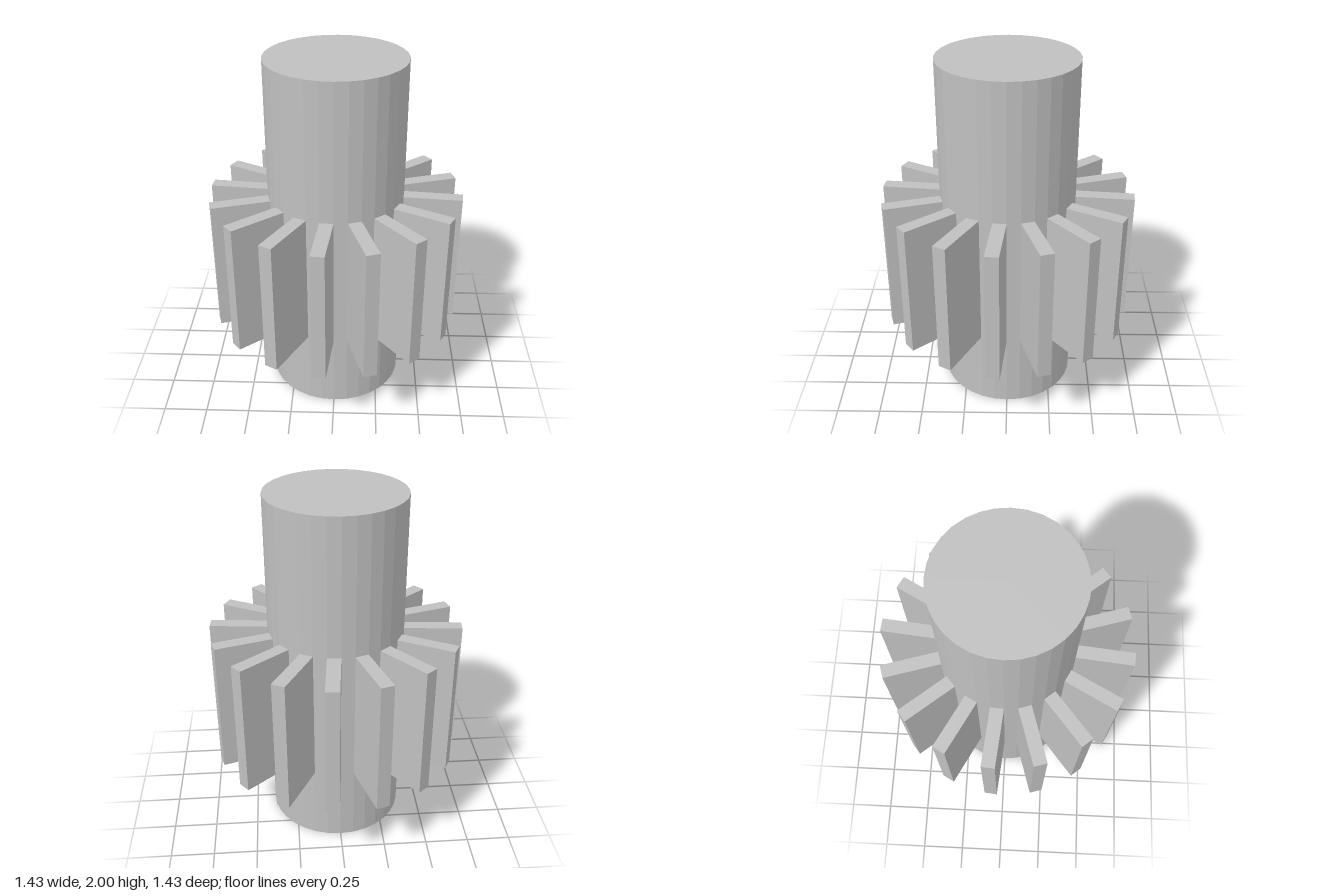
import * as THREE from 'three';

const SIDES = 32; // facets of the shaft; every second one carries a tooth
const RADIUS = 0.387;
const TOOTH_LENGTH = 0.328;
const TOOTH_BOTTOM = 0.447;
const TOOTH_TOP = 1.222;

export function createModel() {
  const model = new THREE.Group();
  model.name = 'pinionGear';
  const steel = new THREE.MeshStandardMaterial({ color: 0xc0c0c0, flatShading: true });
  steel.name = 'grey steel';

  // Faceted shaft
  const shaft = new THREE.Mesh(new THREE.CylinderGeometry(RADIUS, RADIUS, 2, SIDES), steel);
  shaft.name = 'shaft';
  shaft.position.y = 1;
  model.add(shaft);

  // Straight teeth, each as wide as one shaft facet
  const half = Math.PI / SIDES;
  const width = 2 * RADIUS * Math.sin(half);
  const inner = RADIUS * Math.cos(half);
  const toothGeometry = new THREE.BoxGeometry(TOOTH_LENGTH, TOOTH_TOP - TOOTH_BOTTOM, width);
  toothGeometry.translate(inner + TOOTH_LENGTH / 2, (TOOTH_TOP + TOOTH_BOTTOM) / 2, 0);

  const teeth = new THREE.Group();
  teeth.name = 'teeth';
  for (let i = 0; i < SIDES / 2; i++) {
    const tooth = new THREE.Mesh(toothGeometry, steel);
    tooth.name = `tooth${i + 1}`;
    tooth.rotation.y = -half * (1 + 4 * i);
    teeth.add(tooth);
  }
  model.add(teeth);
  return model;
}
